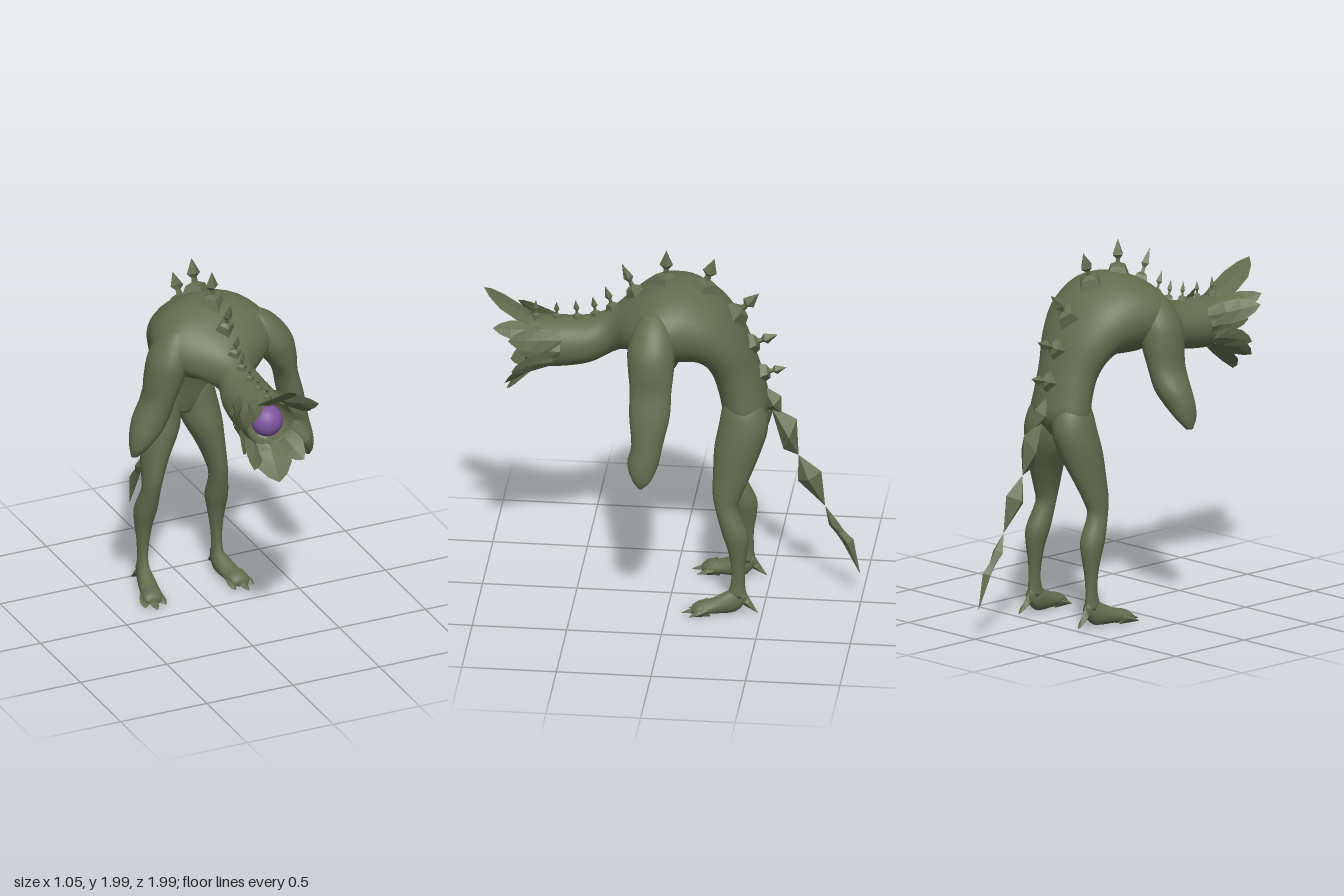
import * as THREE from 'three';

const skin = new THREE.MeshStandardMaterial({ color: 0x646c4e });
skin.name = 'olive hide';
const iris = new THREE.MeshStandardMaterial({ color: 0x7f55a0 });
iris.name = 'purple eye';

const V = (x, y, z) => new THREE.Vector3(x, y, z);

function mesh(name, geometry, material = skin) {
  const m = new THREE.Mesh(geometry, material);
  m.name = name;
  return m;
}

// closed surface through elliptical frames { c, u, v } with n sides
function surface(frames, n, flat) {
  const pos = [], idx = [], last = frames.length - 1;
  let turn = 0;
  frames.forEach(({ c, u, v }, i) => {
    const d = frames[Math.min(i + 1, last)].c.clone().sub(frames[Math.max(i - 1, 0)].c);
    turn += u.clone().cross(v).dot(d);
    for (let k = 0; k < n; k++) {
      const a = (k / n) * Math.PI * 2;
      pos.push(...c.clone().addScaledVector(u, Math.cos(a)).addScaledVector(v, Math.sin(a)).toArray());
    }
  });
  const tri = (a, b, c) => (turn > 0 ? idx.push(a, b, c) : idx.push(a, c, b));
  const start = frames.length * n, end = start + 1;
  pos.push(...frames[0].c.toArray(), ...frames[last].c.toArray());
  for (let k = 0; k < n; k++) {
    const j = (k + 1) % n;
    for (let i = 0; i < last; i++) {
      const p = i * n, q = p + n;
      tri(p + k, p + j, q + k);
      tri(p + j, q + j, q + k);
    }
    tri(start, j, k);
    tri(end, last * n + k, last * n + j);
  }
  let g = new THREE.BufferGeometry();
  g.setAttribute('position', new THREE.Float32BufferAttribute(pos, 3));
  g.setIndex(idx);
  if (flat) g = g.toNonIndexed();
  g.computeVertexNormals();
  return g;
}

// rows are [x, yA, zA, yB, zB, halfWidth]; A and B are opposite edges in profile
function loft(rows, { n = 24, steps = 4, side = 1, flat = false } = {}) {
  const curve = f => new THREE.CatmullRomCurve3(rows.map(f), false, 'catmullrom', 0.5);
  const A = curve(r => V(r[0] * side, r[1], r[2]));
  const B = curve(r => V(r[0] * side, r[3], r[4]));
  const W = curve(r => V(r[5], 0, 0));
  const count = (rows.length - 1) * steps, frames = [];
  for (let i = 0; i <= count; i++) {
    const t = i / count, a = A.getPoint(t), b = B.getPoint(t);
    frames.push({
      c: a.clone().add(b).multiplyScalar(0.5),
      u: a.clone().sub(b).multiplyScalar(0.5),
      v: V(Math.max(W.getPoint(t).x, 0), 0, 0),
    });
  }
  return surface(frames, n, flat);
}

// faceted tapering blade from base to tip, spread along the side vector
function blade(base, tip, width, thick, sideways, bend = 0) {
  const dir = tip.clone().sub(base).normalize();
  const v = sideways.clone().addScaledVector(dir, -sideways.dot(dir)).normalize();
  const u = v.clone().cross(dir).normalize();
  const frames = [[0, 0.7], [0.35, 0.95], [0.65, 0.9], [0.87, 0.5], [1, 0]].map(([t, w]) => ({
    c: base.clone().lerp(tip, t).addScaledVector(u, bend * Math.sin(t * Math.PI)),
    u: u.clone().multiplyScalar(thick * (1 - t)),
    v: v.clone().multiplyScalar(width * w),
  }));
  return surface(frames, 4, true);
}

// barbed dorsal spike: square footing, thin neck and spear point
function spike(zBase, yBase, zTip, yTip, size) {
  const base = V(0, yBase, zBase), axis = V(0, yTip, zTip).sub(base);
  const h = axis.length();
  const profile = [[size, -0.03], [size * 0.62, h * 0.2], [size * 0.2, h * 0.28],
    [size * 0.17, h * 0.42], [size * 0.42, h * 0.54], [0, h]];
  const g = new THREE.LatheGeometry(profile.map(p => new THREE.Vector2(...p)), 4).toNonIndexed();
  g.computeVertexNormals();
  const m = mesh('backSpike', g);
  m.position.copy(base);
  m.quaternion.setFromUnitVectors(V(0, 1, 0), axis.normalize());
  return m;
}

export function createModel() {
  const root = new THREE.Group();
  root.name = 'hunchedCreature';
  const body = new THREE.Group();
  body.name = 'body';
  body.position.x = -0.02;
  root.add(body);

  // hollow mouth, neck, arched torso and pelvis
  body.add(mesh('torsoAndNeck', loft([
    [0, 1.47, 0.62, 1.41, 0.62, 0.03], [0, 1.54, 0.68, 1.345, 0.68, 0.11],
    [0, 1.56, 0.765, 1.33, 0.765, 0.132], [0, 1.572, 0.71, 1.315, 0.71, 0.142],
    [0, 1.58, 0.60, 1.31, 0.60, 0.143], [0, 1.59, 0.45, 1.34, 0.43, 0.132],
    [0, 1.64, 0.33, 1.41, 0.30, 0.112], [0, 1.73, 0.21, 1.45, 0.22, 0.23],
    [0, 1.80, 0.10, 1.43, 0.13, 0.325], [0, 1.83, 0, 1.40, 0.02, 0.33],
    [0, 1.82, -0.12, 1.40, -0.06, 0.305], [0, 1.73, -0.27, 1.40, -0.13, 0.27],
    [0, 1.57, -0.385, 1.37, -0.18, 0.225], [0, 1.40, -0.45, 1.30, -0.22, 0.185],
    [0, 1.25, -0.495, 1.20, -0.25, 0.18], [0, 1.12, -0.515, 1.10, -0.27, 0.178],
    [0, 1.02, -0.45, 1.02, -0.29, 0.06],
  ], { n: 36 })));

  // eye set in the mouth
  const eye = mesh('eye', new THREE.SphereGeometry(0.085, 32, 20), iris);
  eye.position.set(0, 1.443, 0.715);
  body.add(eye);

  // broad overlapping petals around the mouth: base, tip, half width
  const petals = [
    [[0, 1.54, 0.70], [0, 1.735, 0.995], 0.1],
    [[0.075, 1.535, 0.66], [0.16, 1.575, 0.93], 0.06],
    [[0.115, 1.50, 0.58], [0.245, 1.545, 0.84], 0.065],
    [[0.135, 1.45, 0.58], [0.195, 1.465, 0.80], 0.055],
    [[0.125, 1.39, 0.62], [0.19, 1.335, 0.83], 0.06],
    [[0.085, 1.35, 0.67], [0.145, 1.25, 0.87], 0.07],
    [[0, 1.345, 0.68], [0, 1.15, 0.875], 0.11],
  ];
  for (const [b, t, w] of petals) {
    for (const s of b[0] ? [1, -1] : [1]) {
      const base = V(b[0] * s, b[1], b[2]), tip = V(t[0] * s, t[1], t[2]);
      const around = V(base.y - 1.445, -base.x, 0);
      body.add(mesh('mouthPetal', blade(base, tip, w, 0.02, around, 0.015)));
    }
  }

  // spikes along the spine: base z, y, tip z, y, size
  [[0.72, 1.57, 0.72, 1.675, 0.036], [0.61, 1.575, 0.61, 1.67, 0.036],
    [0.50, 1.58, 0.51, 1.685, 0.038], [0.40, 1.60, 0.42, 1.71, 0.042],
    [0.31, 1.645, 0.355, 1.775, 0.05], [0.19, 1.74, 0.265, 1.91, 0.065],
    [0.03, 1.82, 0.03, 2.0, 0.085], [-0.17, 1.795, -0.225, 1.965, 0.092],
    [-0.34, 1.65, -0.46, 1.775, 0.088], [-0.42, 1.48, -0.56, 1.54, 0.075],
    [-0.485, 1.315, -0.605, 1.35, 0.065],
  ].forEach(p => body.add(spike(...p)));

  // chain of faceted tail links
  const point = (y, z) => [0, y, z, y, z, 0];
  [
    [point(1.24, -0.48), [0, 1.18, -0.58, 1.10, -0.50, 0.04], point(1.08, -0.58)],
    [point(1.12, -0.52), [0, 1.05, -0.66, 0.87, -0.59, 0.055], point(0.84, -0.67)],
    [point(0.84, -0.67), [0, 0.75, -0.79, 0.69, -0.665, 0.056], point(0.55, -0.81)],
    [point(0.55, -0.81), [0, 0.47, -0.87, 0.44, -0.83, 0.037], [0, 0.41, -0.91, 0.39, -0.87, 0.018],
      [0, 0.36, -0.96, 0.335, -0.905, 0.03], point(0.16, -0.995)],
  ].forEach(rows => body.add(mesh('tailLink', loft(rows, { n: 4, steps: 1, flat: true }))));

  // arms: the left hangs straight, the right is drawn up
  body.add(mesh('leftArm', loft([
    [0.24, 1.75, 0.04, 1.74, 0.12, 0.03], [0.265, 1.70, -0.01, 1.68, 0.165, 0.085],
    [0.31, 1.60, -0.045, 1.575, 0.20, 0.118], [0.355, 1.49, -0.05, 1.48, 0.195, 0.1],
    [0.40, 1.37, -0.04, 1.37, 0.18, 0.062], [0.43, 1.24, -0.035, 1.24, 0.18, 0.065],
    [0.46, 1.08, 0, 1.08, 0.165, 0.065], [0.475, 0.98, 0.02, 0.98, 0.185, 0.068],
    [0.51, 0.90, 0.055, 0.90, 0.155, 0.035], [0.52, 0.855, 0.10, 0.855, 0.12, 0.01],
  ])));
  body.add(mesh('rightArm', loft([
    [0.22, 1.75, 0.04, 1.74, 0.12, 0.03], [0.235, 1.70, -0.01, 1.68, 0.165, 0.08],
    [0.27, 1.60, -0.045, 1.575, 0.20, 0.108], [0.295, 1.48, -0.05, 1.47, 0.195, 0.105],
    [0.325, 1.36, -0.04, 1.36, 0.18, 0.088], [0.37, 1.25, -0.03, 1.25, 0.17, 0.098],
    [0.41, 1.17, 0, 1.17, 0.165, 0.085], [0.45, 1.10, 0.03, 1.10, 0.15, 0.05],
    [0.475, 1.045, 0.07, 1.045, 0.11, 0.02],
  ], { side: -1 })));

  for (const side of [1, -1]) {
    const leg = new THREE.Group();
    leg.name = side > 0 ? 'leftLeg' : 'rightLeg';
    body.add(leg);
    // thigh, knee, calf and ankle
    leg.add(mesh('limb', loft([
      [0.08, 1.25, -0.43, 1.25, -0.32, 0.03], [0.09, 1.16, -0.495, 1.16, -0.28, 0.09],
      [0.105, 1.05, -0.52, 1.05, -0.26, 0.107],
      [0.125, 0.93, -0.49, 0.93, -0.238, 0.105], [0.16, 0.80, -0.44, 0.80, -0.235, 0.075],
      [0.185, 0.68, -0.39, 0.68, -0.235, 0.055], [0.195, 0.60, -0.37, 0.60, -0.25, 0.05],
      [0.205, 0.47, -0.425, 0.47, -0.285, 0.06], [0.21, 0.38, -0.425, 0.38, -0.315, 0.048],
      [0.212, 0.28, -0.41, 0.28, -0.335, 0.034], [0.215, 0.18, -0.41, 0.18, -0.335, 0.027],
      [0.215, 0.10, -0.415, 0.10, -0.31, 0.033],
    ], { side })));
    // foot
    leg.add(mesh('foot', loft([
      [0.215, 0.14, -0.41, 0.08, -0.42, 0.02], [0.217, 0.14, -0.34, 0.015, -0.36, 0.04],
      [0.235, 0.09, -0.24, 0.01, -0.25, 0.053], [0.25, 0.075, -0.17, 0.01, -0.17, 0.056],
      [0.252, 0.05, -0.135, 0.015, -0.135, 0.04],
    ], { side, n: 16 })));
    // three claws and a heel spur
    for (const [x0, x1, z] of [[0.21, 0.2, -0.11], [0.25, 0.265, -0.075], [0.28, 0.315, -0.12]]) {
      leg.add(mesh('claw', blade(V(x0 * side, 0.045, -0.22), V(x1 * side, 0.012, z), 0.026, 0.04, V(1, 0, 0))));
    }
    leg.add(mesh('heelSpur', blade(V(0.215 * side, 0.095, -0.395), V(0.225 * side, 0.012, -0.48), 0.022, 0.035, V(1, 0, 0))));
  }
  return root;
}
